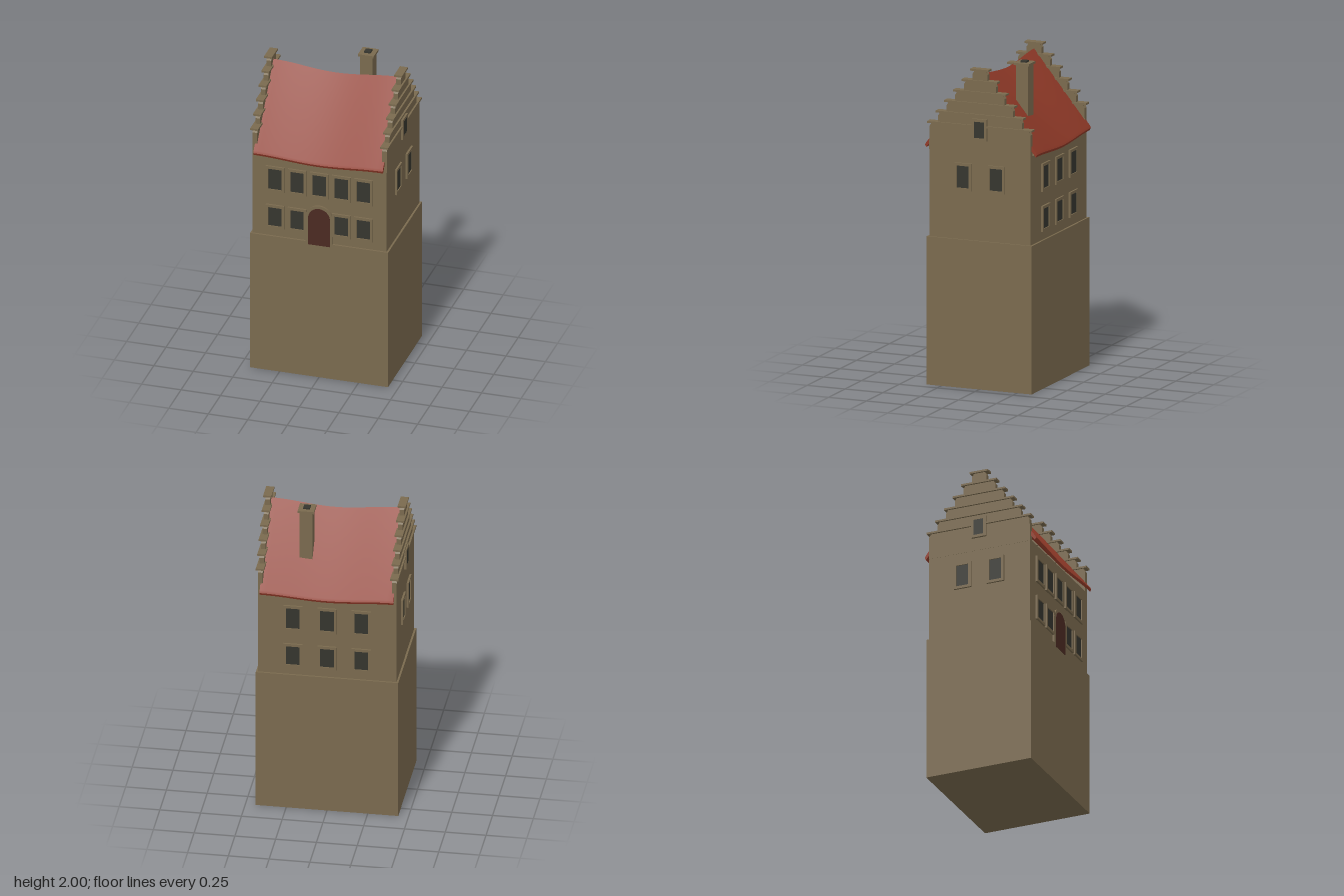
import * as THREE from 'three';
import { toCreasedNormals } from 'three/addons/utils/BufferGeometryUtils.js';

const paint = (name, color) => {
  const m = new THREE.MeshStandardMaterial({ color });
  m.name = name;
  return m;
};

export function createModel() {
  const stone = paint('stone', 0x7a6a4e);
  const tile = paint('roof tile', 0x913a28);
  const glass = paint('dark glass', 0x35352e);
  const wood = paint('door wood', 0x4b2a22);
  const model = new THREE.Group();
  model.name = 'steppedGableHouse';

  const add = (parent, name, geometry, material, x = 0, y = 0, z = 0) => {
    const mesh = new THREE.Mesh(geometry, material);
    mesh.name = name;
    mesh.position.set(x, y, z);
    parent.add(mesh);
    return mesh;
  };
  // Box given by its vertical range, centred at x and z
  const block = (parent, name, w, d, y0, y1, material, x = 0, z = 0) =>
    add(parent, name, new THREE.BoxGeometry(w, y1 - y0, d), material, x, (y0 + y1) / 2, z);
  const extrude = (shape, depth, steps = 1) =>
    new THREE.ExtrudeGeometry(shape, { depth, steps, bevelEnabled: false, curveSegments: 14 });

  // Tall foundation and the storeys above it
  block(model, 'foundation', 0.874, 0.694, 0, 0.92, stone);
  block(model, 'houseWalls', 0.85, 0.67, 0.92, 1.47, stone);

  // Sagging roof: a chevron section swept along x, then dipped in the middle
  const chevron = new THREE.Shape([
    [0, 1.945], [-0.362, 1.497], [-0.369, 1.482], [-0.362, 1.467], [0, 1.9],
    [0.362, 1.467], [0.369, 1.482], [0.362, 1.497],
  ].map(([x, y]) => new THREE.Vector2(x, y)));
  let roof = extrude(chevron, 0.82, 20);
  roof.translate(0, 0, -0.41).rotateY(Math.PI / 2);
  const p = roof.attributes.position;
  for (let i = 0; i < p.count; i++) {
    const dip = 0.5 + 0.5 * Math.cos((Math.PI * p.getX(i)) / 0.41);
    const amount = 0.02 + 0.012 * (p.getY(i) - 1.47) / 0.47;
    p.setY(i, p.getY(i) - amount * dip);
  }
  add(model, 'roof', toCreasedNormals(roof, 0.4), tile);

  // Stepped gables, each step with a chamfered shoulder and a flat coping
  const steps = [0, 1, 2, 3, 4, 5].map((i) => ({ w: 0.345 - 0.057 * i, y: 1.63 + 0.07 * i }));
  const half = [[0.335, 1.46]];
  steps.forEach(({ w, y }, i) => {
    if (i) half.push([w - 0.011, steps[i - 1].y]);
    half.push([w - 0.011, y - 0.026], [w - 0.021, y - 0.012], [w - 0.021, y]);
  });
  const mirrored = half.map(([z, y]) => [-z, y]).reverse();
  const outline = new THREE.Shape([...half, ...mirrored].map(([z, y]) => new THREE.Vector2(z, y)));
  for (const side of [-1, 1]) {
    const gable = new THREE.Group();
    gable.name = side > 0 ? 'leftGable' : 'rightGable';
    const wall = extrude(outline, 0.03);
    wall.translate(0, 0, -0.015).rotateY(Math.PI / 2);
    add(gable, 'gableWall', wall, stone, side * 0.411);
    for (const { w, y } of steps)
      block(gable, 'coping', 0.05, w * 2, y - 0.006, y + 0.006, stone, side * 0.412);
    model.add(gable);
  }

  // Chimney with a slab and a dark flue
  const chimney = new THREE.Group();
  chimney.name = 'chimney';
  block(chimney, 'shaft', 0.08, 0.08, 1.6, 1.976, stone, 0.15, -0.175);
  block(chimney, 'slab', 0.1, 0.1, 1.976, 1.99, stone, 0.15, -0.175);
  block(chimney, 'flue', 0.04, 0.04, 1.99, 2, glass, 0.15, -0.175);
  model.add(chimney);

  // Opening outline, square or round-headed, with its foot at y = 0
  const opening = (Type, w, h, arched) => {
    const s = new Type();
    s.moveTo(-w / 2, 0);
    s.lineTo(w / 2, 0);
    if (arched) {
      s.lineTo(w / 2, h - w / 2);
      s.absarc(0, h - w / 2, w / 2, 0, Math.PI, false);
    } else {
      s.lineTo(w / 2, h);
      s.lineTo(-w / 2, h);
    }
    s.closePath();
    return s;
  };
  // Each facade is a group facing outward, with z = 0 on the wall face
  const facade = (name, angle, distance) => {
    const g = new THREE.Group();
    g.name = name;
    g.rotation.y = angle;
    g.position.set(Math.sin(angle) * distance, 0, Math.cos(angle) * distance);
    model.add(g);
    return g;
  };
  const addWindow = (wall, x, y, w, h, depth = 0.012, recess = 0.007) => {
    const b = 0.017;
    const rim = opening(THREE.Shape, w + 2 * b, h + 2 * b, false);
    rim.holes.push(new THREE.Path(
      [[-1, 0], [-1, 1], [1, 1], [1, 0]].map(([u, v]) => new THREE.Vector2(u * w / 2, b + v * h))));
    add(wall, 'windowFrame', extrude(rim, depth), stone, x, y - b, 0);
    add(wall, 'windowPane', extrude(opening(THREE.Shape, w, h, false), 0.004), glass,
      x, y, depth - recess - 0.004 + 0.001);
  };

  // Front: five windows over four, with an arched door in the middle
  const front = facade('frontFacade', 0, 0.335);
  for (const x of [-0.28, -0.14, 0, 0.14, 0.28]) {
    addWindow(front, x, 1.24, 0.085, 0.138);
    if (x) addWindow(front, x, 0.99, 0.085, 0.125);
  }
  add(front, 'doorSurround', extrude(opening(THREE.Shape, 0.172, 0.255, true), 0.0125), stone, 0, 0.915, 0);
  add(front, 'door', extrude(opening(THREE.Shape, 0.138, 0.25, true), 0.004), wood, 0, 0.902, 0.0105);

  // Back: three columns of windows in two rows
  const back = facade('backFacade', Math.PI, 0.335);
  for (const x of [-0.21, 0, 0.21]) {
    addWindow(back, x, 1.24, 0.085, 0.138);
    addWindow(back, x, 0.99, 0.085, 0.125);
  }

  // Ends: two windows and a small attic window in the gable
  for (const side of [-1, 1]) {
    const end = facade(side > 0 ? 'leftFacade' : 'rightFacade', side * Math.PI / 2, 0.425);
    for (const x of [-0.109, 0.109]) addWindow(end, x, 1.24, 0.08, 0.137);
    addWindow(end, 0, 1.56, 0.064, 0.1, 0.015, 0.002);
  }
  return model;
}
